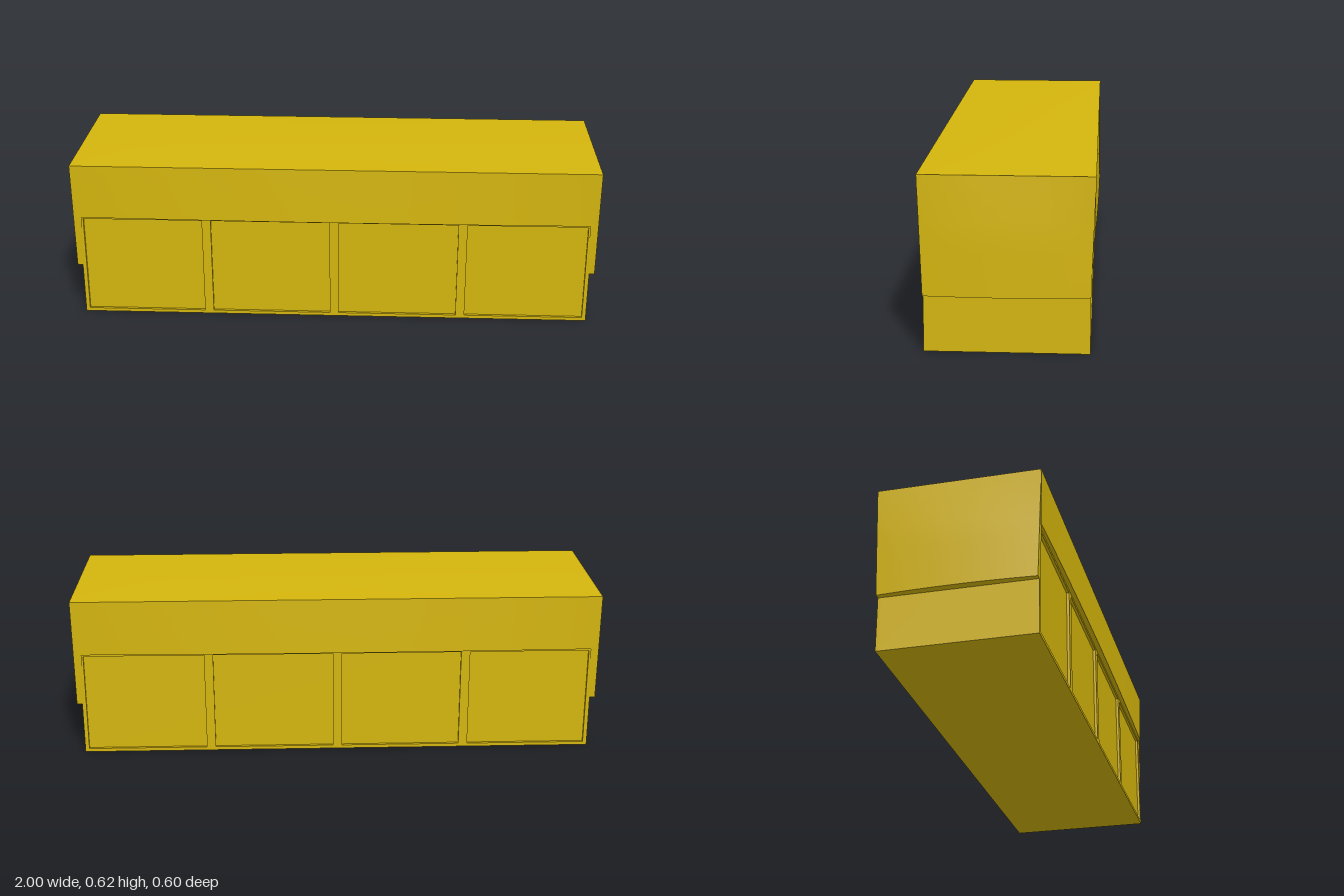
import * as THREE from 'three';
import { toCreasedNormals } from 'three/addons/utils/BufferGeometryUtils.js';

const lerp = THREE.MathUtils.lerp;

// Grid surface from point(i, j); columns run right, rows run down, seen from outside
function grid(cols, rows, point) {
  const pos = [], index = [];
  for (let j = 0; j <= rows; j++)
    for (let i = 0; i <= cols; i++) pos.push(...point(i, j));
  for (let j = 0; j < rows; j++)
    for (let i = 0; i < cols; i++) {
      const a = j * (cols + 1) + i, b = a + cols + 1;
      index.push(a, b, b + 1, a, b + 1, a + 1);
    }
  const geo = new THREE.BufferGeometry();
  geo.setAttribute('position', new THREE.Float32BufferAttribute(pos, 3));
  geo.setIndex(index);
  return toCreasedNormals(geo, 0.5);
}

export function createModel() {
  const model = new THREE.Group();
  const yellow = new THREE.MeshStandardMaterial({ color: 0xd4b50c });
  const cloth = new THREE.MeshStandardMaterial({ color: 0xd4b50c, side: THREE.DoubleSide });

  function add(geo, name, material = yellow, turn = 0) {
    const mesh = new THREE.Mesh(geo, material);
    mesh.name = name;
    mesh.rotation.y = turn;
    model.add(mesh);
    return mesh;
  }

  // Chest core; its long faces are the recessed panels
  add(new THREE.BoxGeometry(1.94, 0.6, 0.54), 'chestCore').position.y = 0.3;

  // Raised frame with four panel openings, on both long sides
  const frame = new THREE.Shape([
    new THREE.Vector2(-0.97, 0), new THREE.Vector2(0.97, 0),
    new THREE.Vector2(0.97, 0.45), new THREE.Vector2(-0.97, 0.45),
  ]);
  for (let k = 0; k < 4; k++) {
    const x = (k - 1.5) * 0.486, w = 0.226;
    frame.holes.push(new THREE.Path([
      new THREE.Vector2(x - w, 0.013), new THREE.Vector2(x - w, 0.393),
      new THREE.Vector2(x + w, 0.393), new THREE.Vector2(x + w, 0.013),
    ]));
  }
  const frameGeo = new THREE.ExtrudeGeometry(frame, { depth: 0.01, bevelEnabled: false });
  frameGeo.translate(0, 0, 0.27);
  add(frameGeo, 'frontFrame');
  add(frameGeo, 'backFrame', yellow, Math.PI);

  // Gently crowned cover top
  const N = 16;
  add(grid(N, N, (i, j) => {
    const u = (2 * i) / N - 1, v = (2 * j) / N - 1;
    return [0.99 * u, 0.613 + 0.006 * (1 - u * u) * (1 - v * v), 0.293 * v];
  }), 'coverTop', cloth);

  // Hanging flap, bowed outwards; its ends and lower edge turn in to the chest
  function flap({ halfTop, halfBottom, bottom, outTop, outBottom, ramp }) {
    const rows = 8;
    return grid(N + 2, rows + 1, (i, j) => {
      const u = (2 * THREE.MathUtils.clamp(i - 1, 0, N)) / N - 1;
      const v = Math.min(j, rows) / rows;
      const inward = i === 0 || i === N + 2 || j > rows ? 0.03 : 0;
      const bow = 0.01 * Math.min(1, ramp * v) * (1 - u * u);
      return [
        u * lerp(halfTop, halfBottom, v),
        lerp(0.613, bottom, v),
        lerp(outTop, outBottom, v) + bow - inward,
      ];
    });
  }
  const longFlap = flap({ halfTop: 0.99, halfBottom: 0.975, bottom: 0.403, outTop: 0.293, outBottom: 0.29, ramp: 1 });
  const endFlap = flap({ halfTop: 0.293, halfBottom: 0.28, bottom: 0.2, outTop: 0.99, outBottom: 0.99, ramp: 2 });
  add(longFlap, 'frontFlap', cloth);
  add(longFlap, 'backFlap', cloth, Math.PI);
  add(endFlap, 'leftFlap', cloth, Math.PI / 2);
  add(endFlap, 'rightFlap', cloth, -Math.PI / 2);

  return model;
}
